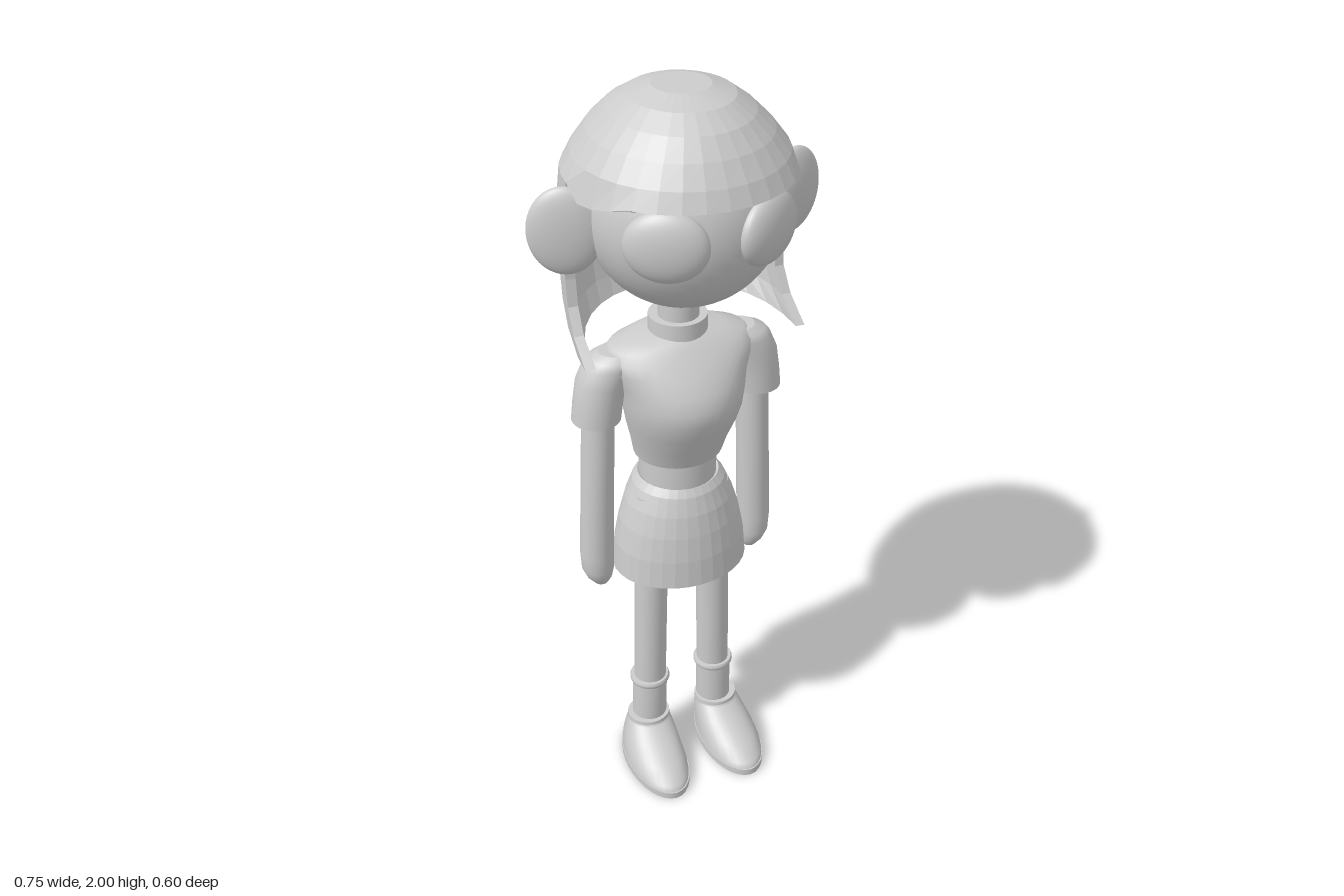
import * as THREE from 'three';

const smooth = new THREE.MeshStandardMaterial({ color: 0xcccccc });
const faceted = new THREE.MeshStandardMaterial({ color: 0xcccccc, flatShading: true });

function add(parent, name, geometry, x = 0, y = 0, z = 0, material = smooth) {
  const mesh = new THREE.Mesh(geometry, material);
  mesh.name = name;
  mesh.position.set(x, y, z);
  parent.add(mesh);
  return mesh;
}

// One oval ring of points; row = [y, half width, front z, back z, centre x]
function ring([y, rx, zf, zb, cx = 0], seg) {
  const points = [];
  for (let j = 0; j < seg; j++) {
    const a = (j / seg) * Math.PI * 2;
    points.push([cx + rx * Math.sin(a), y, (zf + zb) / 2 + ((zf - zb) / 2) * Math.cos(a)]);
  }
  return points;
}

// Indices joining rings from bottom to top; keep() can leave quads out
function skin(rows, seg, keep = () => true) {
  const index = [];
  for (let i = 0; i < rows - 1; i++) {
    for (let j = 0; j < seg; j++) {
      if (!keep(i, j)) continue;
      const k = (j + 1) % seg;
      const a = i * seg + j, b = i * seg + k, c = b + seg, d = a + seg;
      index.push(a, b, c, a, c, d);
    }
  }
  return index;
}

function build(points, index) {
  const g = new THREE.BufferGeometry();
  g.setAttribute('position', new THREE.Float32BufferAttribute(points.flat(), 3));
  g.setIndex(index);
  g.computeVertexNormals();
  return g;
}

// Closed smooth body through oval rings, with flat end caps
function loft(rows, seg = 32) {
  const points = rows.flatMap((r) => ring(r, seg));
  const index = skin(rows.length, seg);
  for (const top of [false, true]) {
    const row = rows[top ? rows.length - 1 : 0];
    const base = points.length;
    points.push(...ring(row, seg), [row[4] || 0, row[0], (row[2] + row[3]) / 2]);
    for (let j = 0; j < seg; j++) {
      const a = base + j, b = base + ((j + 1) % seg);
      index.push(base + seg, top ? a : b, top ? b : a);
    }
  }
  return build(points, index);
}

// Gives an open surface a thickness: inner copy plus a strip along each border
function shell(points, index, thickness) {
  const normal = build(points, index).getAttribute('normal');
  const n = points.length;
  const inner = points.map((p, i) => [
    p[0] - normal.getX(i) * thickness,
    p[1] - normal.getY(i) * thickness,
    p[2] - normal.getZ(i) * thickness,
  ]);
  const edges = new Set();
  const out = [...index];
  for (let t = 0; t < index.length; t += 3) {
    const tri = index.slice(t, t + 3);
    out.push(tri[0] + n, tri[2] + n, tri[1] + n);
    tri.forEach((a, i) => edges.add(`${a},${tri[(i + 1) % 3]}`));
  }
  for (const e of edges) {
    const [a, b] = e.split(',').map(Number);
    if (!edges.has(`${b},${a}`)) out.push(b, a, a + n, b, a + n, b + n);
  }
  const g = build([...points, ...inner], out).toNonIndexed();
  g.computeVertexNormals();
  return g;
}

// Bob: half-oval curtain behind, full dome above a wavy fringe
function hairGeometry() {
  const seg = 32;
  // curtain rows: [y, half width, front edge z, back z]
  const curtain = [
    [1.37, 0.288, 0.13, -0.225], [1.42, 0.287, 0.05, -0.245], [1.48, 0.285, 0.01, -0.268],
    [1.55, 0.285, 0, -0.288], [1.62, 0.285, 0, -0.3], [1.7, 0.285, 0.005, -0.292],
  ].map(([y, rx, edge, back]) => [y, rx, 2 * edge - back, back]);
  const dome = [
    [1.805, 0.28, 0.303, -0.265], [1.85, 0.255, 0.283, -0.245], [1.9, 0.217, 0.25, -0.215],
    [1.945, 0.172, 0.21, -0.17], [1.98, 0.125, 0.16, -0.11], [2, 0.07, 0.095, -0.045],
  ];
  const rows = [...curtain, ...dome];
  const points = rows.flatMap((r) => ring(r, seg));
  const dip = [0, 0, 0, 0, 0, 0.012, 0.025, 0.03, 0];
  for (let j = 0; j < seg; j++) {
    points[curtain.length * seg + j][1] -= dip[Math.min(j, seg - j)] || 0;
  }
  const index = skin(rows.length, seg, (i, j) => i >= curtain.length || (j >= 8 && j < 24));
  const last = (rows.length - 1) * seg;
  points.push([0, 2, 0.025]);
  for (let j = 0; j < seg; j++) index.push(points.length - 1, last + j, last + ((j + 1) % seg));
  return shell(points, index, 0.025);
}

function skirtGeometry() {
  const rows = [
    [0.66, 0.185, 0.167, -0.14], [0.74, 0.178, 0.162, -0.135], [0.81, 0.164, 0.153, -0.128],
    [0.87, 0.146, 0.141, -0.12], [0.92, 0.124, 0.125, -0.109], [0.94, 0.108, 0.112, -0.1],
  ];
  return shell(rows.flatMap((r) => ring(r, 32)), skin(rows.length, 32), 0.018);
}

export function createModel() {
  const model = new THREE.Group();
  model.name = 'figure';
  const ball = new THREE.SphereGeometry(1, 40, 28);

  // Head and hair
  add(model, 'head', ball, 0, 1.71, 0.04).scale.setScalar(0.242);
  add(model, 'hair', hairGeometry(), 0, 0, 0, faceted);
  add(model, 'neck', new THREE.CylinderGeometry(0.052, 0.052, 0.2, 24), 0, 1.42, 0.01);
  add(model, 'collar', new THREE.CylinderGeometry(0.074, 0.076, 0.06, 28), 0, 1.375, 0.005);

  // Top, waist and skirt
  add(model, 'top', loft([
    [1.01, 0.118, 0.115, -0.105], [1.06, 0.128, 0.135, -0.108], [1.12, 0.144, 0.165, -0.112],
    [1.17, 0.154, 0.184, -0.115], [1.21, 0.16, 0.186, -0.116], [1.25, 0.168, 0.172, -0.116],
    [1.29, 0.188, 0.145, -0.114], [1.32, 0.2, 0.12, -0.11], [1.342, 0.18, 0.1, -0.1],
    [1.358, 0.125, 0.085, -0.088], [1.368, 0.07, 0.07, -0.07],
  ]));
  add(model, 'waist', loft([[0.92, 0.102, 0.106, -0.098], [1.03, 0.102, 0.106, -0.098]]));
  add(model, 'skirt', skirtGeometry(), 0, 0, 0, faceted);

  for (const s of [1, -1]) {
    const side = s > 0 ? 'left' : 'right';

    // Face
    const eye = add(model, side + 'Eye', ball, s * 0.125, 1.712, 0.235);
    eye.scale.set(0.1, 0.088, 0.04);
    eye.rotation.y = s * 0.52;
    const ear = add(model, side + 'Ear', ball, s * 0.29, 1.69, 0.028);
    ear.scale.set(0.09, 0.11, 0.031);
    ear.rotation.y = s * 0.38;

    // Sleeve and arm with a rounded hand
    add(model, side + 'Sleeve', loft([
      [1.15, 0.063, 0.068, -0.06, s * 0.222], [1.2, 0.064, 0.068, -0.06, s * 0.216],
      [1.26, 0.066, 0.068, -0.06, s * 0.205], [1.305, 0.068, 0.066, -0.058, s * 0.184],
      [1.322, 0.07, 0.06, -0.052, s * 0.168], [1.335, 0.055, 0.045, -0.04, s * 0.155],
    ]));
    add(model, side + 'Arm', loft([
      [0.61, 0.008, 0.003, -0.013, s * 0.219], [0.618, 0.02, 0.015, -0.025, s * 0.221],
      [0.64, 0.034, 0.03, -0.04, s * 0.225], [0.67, 0.043, 0.04, -0.05, s * 0.229],
      [0.72, 0.045, 0.041, -0.051, s * 0.23], [0.9, 0.044, 0.041, -0.051, s * 0.224],
      [1.2, 0.042, 0.041, -0.051, s * 0.212],
    ], 24));

    // Leg, sock and shoe
    add(model, side + 'Leg', loft([
      [0.1, 0.045, 0.078, -0.012, s * 0.1], [0.9, 0.045, 0.08, -0.014, s * 0.085],
    ], 24));
    add(model, side + 'Sock', loft([
      [0.1, 0.049, 0.082, -0.016, s * 0.101], [0.252, 0.049, 0.082, -0.016, s * 0.098],
    ], 24));
    add(model, side + 'SockCuff', loft([
      [0.252, 0.053, 0.086, -0.02, s * 0.098], [0.258, 0.056, 0.089, -0.023, s * 0.098],
      [0.264, 0.056, 0.089, -0.023, s * 0.098], [0.27, 0.053, 0.086, -0.02, s * 0.098],
    ], 24));
    add(model, side + 'Sole', loft([
      [0, 0.083, 0.273, -0.05, s * 0.115], [0.02, 0.083, 0.273, -0.05, s * 0.115],
    ]));
    add(model, side + 'Shoe', loft([
      [0.018, 0.081, 0.27, -0.047, s * 0.115], [0.035, 0.08, 0.262, -0.046, s * 0.115],
      [0.06, 0.076, 0.215, -0.041, s * 0.113], [0.09, 0.069, 0.15, -0.031, s * 0.109],
      [0.115, 0.061, 0.1, -0.02, s * 0.106], [0.122, 0.06, 0.095, -0.018, s * 0.105],
    ]));
    add(model, side + 'ShoeRim', loft([
      [0.115, 0.061, 0.096, -0.02, s * 0.105], [0.132, 0.06, 0.094, -0.018, s * 0.105],
    ]));
  }
  return model;
}
